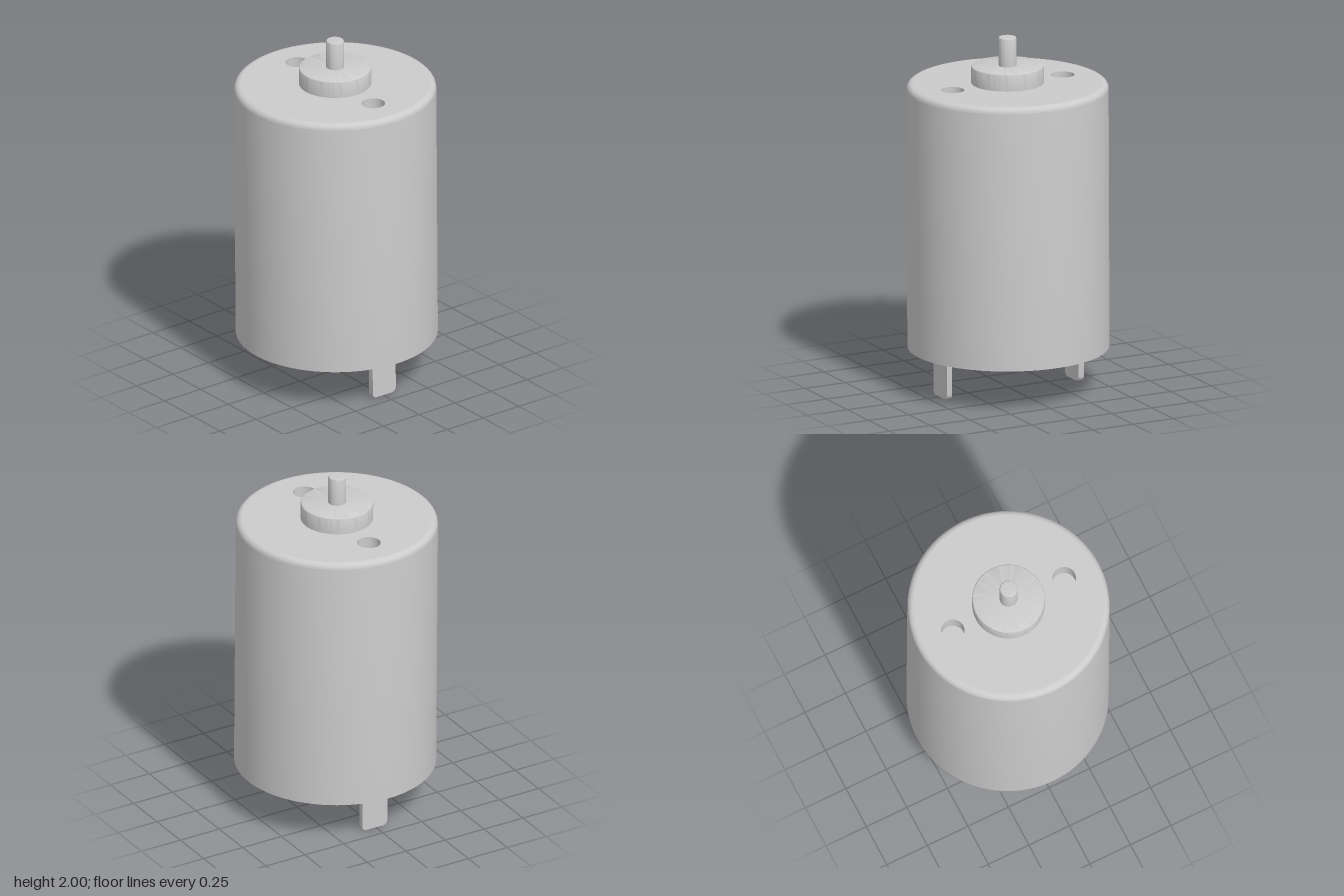
import * as THREE from 'three';
import { toCreasedNormals } from 'three/addons/utils/BufferGeometryUtils.js';

const SEGMENTS = 96;
const BODY_R = 0.557, BODY_BOTTOM = 0.24, BODY_TOP = 1.74, BODY_FILLET = 0.035;
const HOLE_R = 0.065, HOLE_X = 0.343, HOLE_DEPTH = 0.1;
const material = new THREE.MeshStandardMaterial({ color: 0xcccccc });

function addMesh(parent, name, geometry) {
  const mesh = new THREE.Mesh(geometry, material);
  mesh.name = name;
  parent.add(mesh);
  return mesh;
}

function lathe(points, segments = SEGMENTS) {
  const profile = points.map(([r, y]) => new THREE.Vector2(r, y));
  return toCreasedNormals(new THREE.LatheGeometry(profile, segments), 0.5);
}

// Quarter-round edge; dir = 1 runs from the wall up, dir = -1 from the base to the wall
function fillet(r, y, f, dir) {
  const points = [];
  for (let i = 0; i <= 8; i++) {
    const t = (i / 8) * Math.PI / 2;
    const a = dir > 0 ? t : t - Math.PI / 2;
    points.push([r - f + f * Math.cos(a), y - dir * f + f * Math.sin(a)]);
  }
  return points;
}

// Rounded-top disc stacked on the axis
const topDisc = (r, y0, y1, f) => lathe([[r, y0], ...fillet(r, y1, f, 1), [0, y1]]);

export function createModel() {
  const model = new THREE.Group();
  model.name = 'electricMotor';

  // Everything leans very slightly forward about its middle
  const motor = new THREE.Group();
  motor.name = 'motor';
  motor.position.y = 1;
  motor.rotation.x = 0.0072;
  model.add(motor);
  const parts = new THREE.Group();
  parts.name = 'motorParts';
  parts.position.y = -1;
  motor.add(parts);

  // Can: flat base, wall and rounded top rim
  addMesh(parts, 'can', lathe([
    [0, BODY_BOTTOM], [BODY_R, BODY_BOTTOM],
    ...fillet(BODY_R, BODY_TOP, BODY_FILLET, 1),
  ]));

  // Top face, pierced by the two mounting holes
  const face = new THREE.Shape().absarc(0, 0, BODY_R - BODY_FILLET, 0, Math.PI * 2);
  for (const side of [-1, 1]) {
    face.holes.push(new THREE.Path().absarc(side * HOLE_X, 0, HOLE_R, 0, Math.PI * 2, true));
  }
  const faceGeometry = new THREE.ShapeGeometry(face, SEGMENTS / 2).rotateX(-Math.PI / 2);
  addMesh(parts, 'topFace', faceGeometry).position.y = BODY_TOP;

  // Blind mounting holes, seen from inside
  for (const side of [-1, 1]) {
    const hole = addMesh(parts, side > 0 ? 'leftMountingHole' : 'rightMountingHole',
      lathe([[HOLE_R, 0], [HOLE_R, -HOLE_DEPTH], [0, -HOLE_DEPTH]]));
    hole.position.set(side * HOLE_X, BODY_TOP, 0);
  }

  // Front bearing collar and output shaft
  addMesh(parts, 'bearingCollar', topDisc(0.2, BODY_TOP, 1.838, 0.008));
  addMesh(parts, 'shaft', topDisc(0.049, 1.838, 2, 0.008));

  // Rear bearing boss
  addMesh(parts, 'rearBoss', lathe([
    [0, 0.14], ...fillet(0.153, 0.14, 0.03, -1), [0.153, BODY_BOTTOM],
  ]));

  // Terminal tabs: thin plates with rounded lower corners
  const w = 0.08, c = 0.028, thickness = 0.033;
  const outline = new THREE.Shape();
  outline.moveTo(-w, BODY_BOTTOM);
  outline.lineTo(-w, c);
  outline.absarc(-w + c, c, c, Math.PI, Math.PI * 1.5);
  outline.absarc(w - c, c, c, Math.PI * 1.5, Math.PI * 2);
  outline.lineTo(w, BODY_BOTTOM);
  const tab = new THREE.ExtrudeGeometry(outline, {
    depth: thickness, bevelEnabled: false, curveSegments: 8,
  });
  tab.translate(0, 0, -thickness / 2).rotateY(Math.PI / 2);
  const tabGeometry = toCreasedNormals(tab, 0.5);
  for (const side of [-1, 1]) {
    addMesh(parts, side > 0 ? 'leftTerminal' : 'rightTerminal', tabGeometry).position.x = side * 0.41;
  }

  return model;
}
